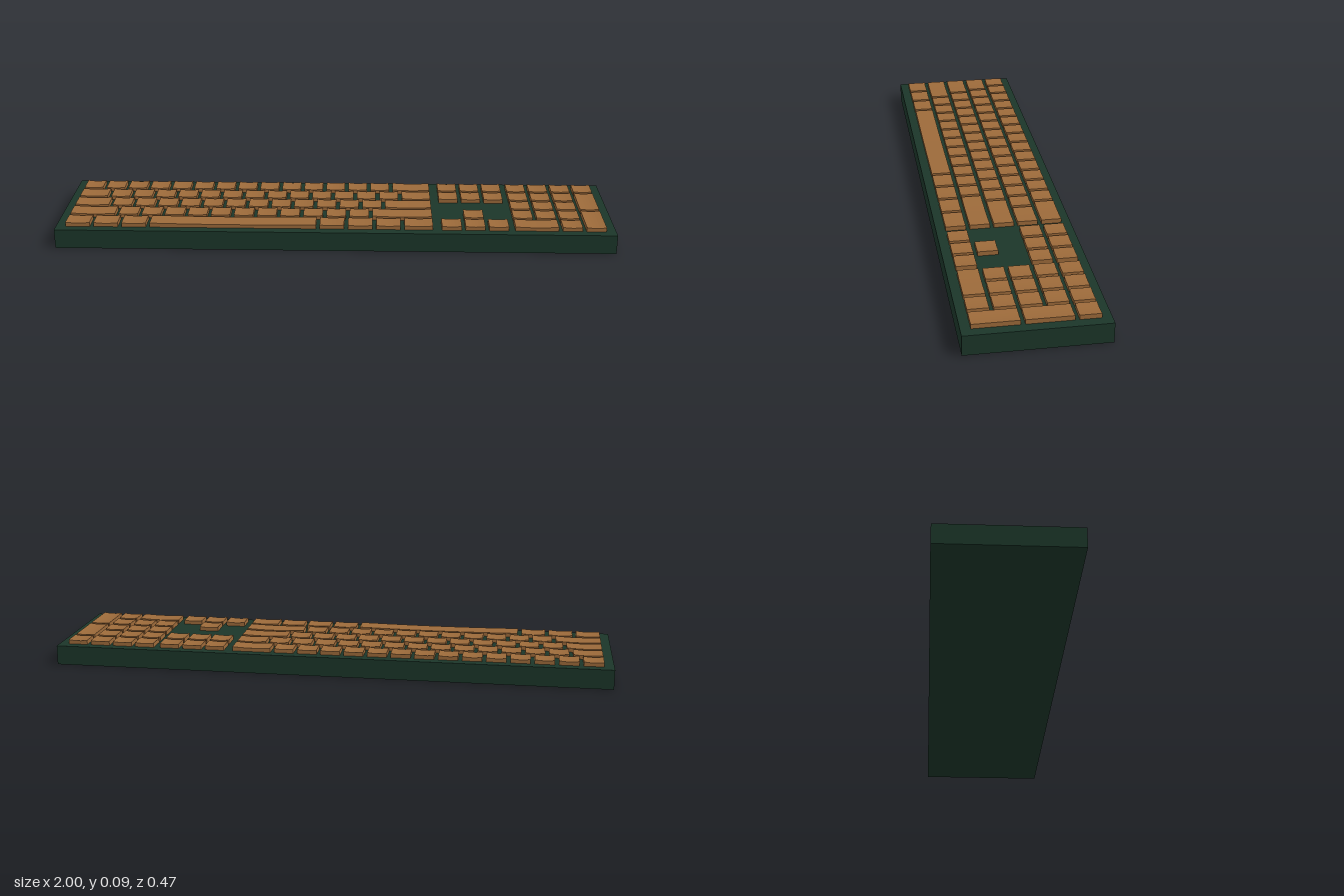
import * as THREE from 'three';

const U = 0.084;      // key pitch
const GAP = 0.014;    // space between keys
const BASE = 0.07;    // height of the case
const KEY_H = 0.016;
const DISH = 0.003;   // depth of the hollow in each key top

const green = new THREE.MeshStandardMaterial({ color: 0x1b3629 });
const brown = new THREE.MeshStandardMaterial({ color: 0x9c6a3a });

// Keycap: a side-to-side hollowed profile extruded from back to front
function keyGeometry(w, d) {
  const s = new THREE.Shape();
  s.moveTo(-w / 2, 0);
  s.lineTo(w / 2, 0);
  const n = 6;
  for (let i = 0; i <= n; i++) {
    const t = 1 - (2 * i) / n;
    s.lineTo((t * w) / 2, KEY_H - DISH * (1 - t * t));
  }
  s.closePath();
  return new THREE.ExtrudeGeometry(s, { depth: d, bevelEnabled: false }).translate(0, 0, -d / 2);
}

export function createModel() {
  const model = new THREE.Group();
  model.name = 'keyboard';

  // Case
  const body = new THREE.Mesh(new THREE.BoxGeometry(2, BASE, 0.472), green);
  body.name = 'case';
  body.position.y = BASE / 2;
  model.add(body);

  const section = (name) => {
    const g = new THREE.Group();
    g.name = name;
    model.add(g);
    return g;
  };

  // Adds one key from its left edge x0 to right edge x1, covering some rows
  const addKey = (group, name, x0, x1, row, rows = 1) => {
    const key = new THREE.Mesh(keyGeometry(x1 - x0, rows * U - GAP), brown);
    key.name = name;
    key.position.set((x0 + x1) / 2, BASE, (row - 2 + (rows - 1) / 2) * U);
    group.add(key);
  };

  // Main block: key widths in pitches; the last key of a row fills up to the edge
  const main = section('mainKeys');
  const ones = (n) => Array(n).fill(1);
  const rows = [
    ones(14),
    [1.4, ...ones(13)],
    [1.65, ...ones(12)],
    [2.1, ...ones(11)],
    [1.2, 1.2, 1.2, 7.25, 1.2, 1.2, 1.2],
  ];
  rows.forEach((widths, r) => {
    let x = -0.965;
    for (const w of widths) {
      addKey(main, w > 7 ? 'spaceBar' : 'key', x, x + w * U - GAP, r);
      x += w * U;
    }
    addKey(main, 'rowEndKey', x, 0.35, r);
  });

  // Navigation cluster and arrows
  const nav = section('navigationKeys');
  [[0, 1, 2], [0, 1, 2], [], [1], [0, 1, 2]].forEach((cols, r) => {
    for (const c of cols) {
      const x = 0.382 + c * U;
      addKey(nav, r > 2 ? 'arrowKey' : 'navigationKey', x, x + U - GAP, r);
    }
  });

  // Number pad with a wide bottom key and two tall keys
  const pad = section('numberPad');
  const px = (c) => 0.643 + c * U;
  for (let r = 0; r < 4; r++) {
    for (let c = 0; c < 3; c++) addKey(pad, 'padKey', px(c), px(c + 1) - GAP, r);
  }
  addKey(pad, 'widePadKey', px(0), px(2) - GAP, 4);
  addKey(pad, 'padKey', px(2), px(3) - GAP, 4);
  addKey(pad, 'padKey', px(3), px(4) - GAP, 0);
  addKey(pad, 'tallPadKey', px(3), px(4) - GAP, 1, 2);
  addKey(pad, 'tallPadKey', px(3), px(4) - GAP, 3, 2);

  return model;
}
